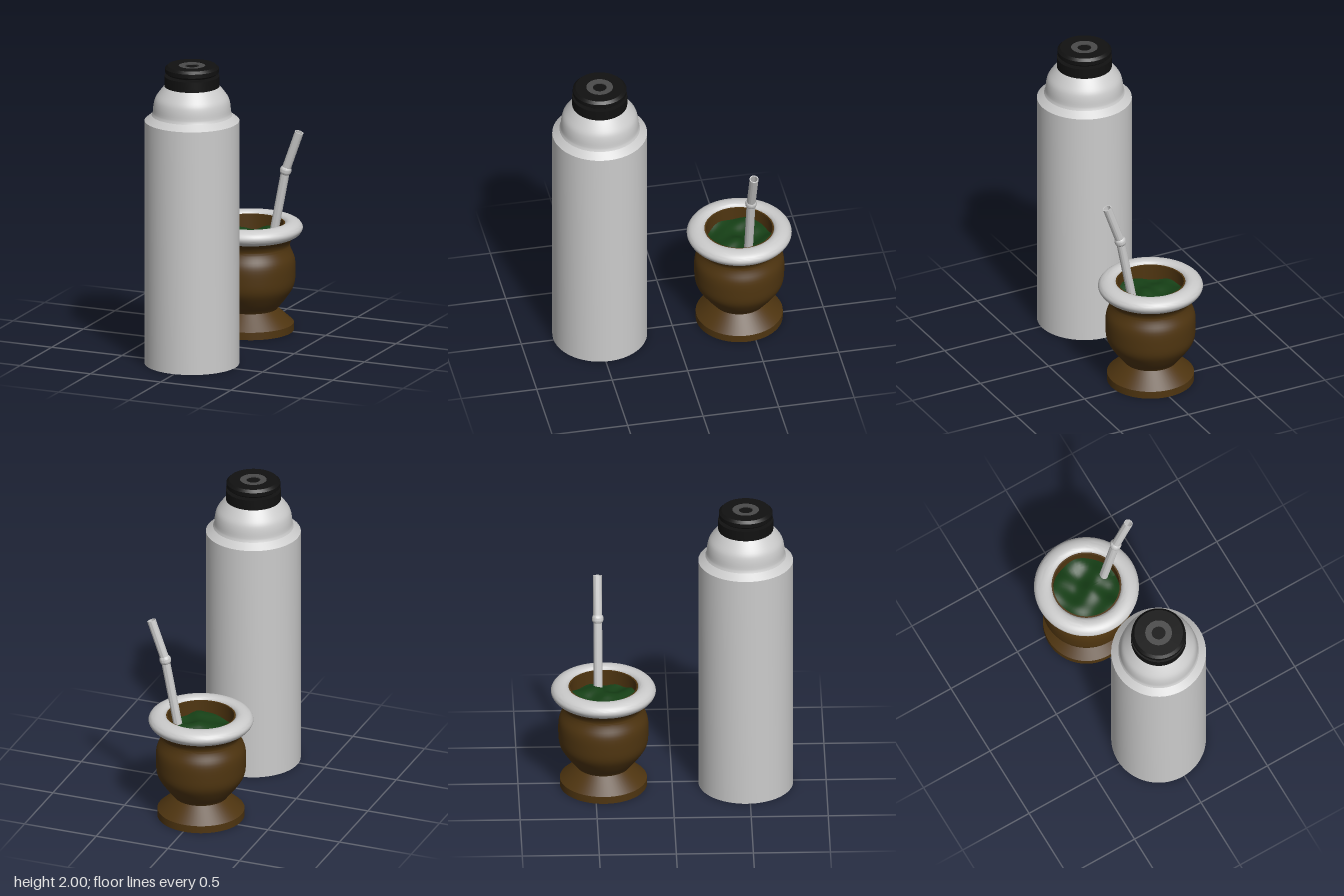
import * as THREE from 'three';
import { toCreasedNormals } from 'three/addons/utils/BufferGeometryUtils.js';

const paint = (color) => new THREE.MeshStandardMaterial({ color, side: THREE.DoubleSide });
const grey = paint(0xcccccc);
const black = paint(0x111111);
const darkGrey = paint(0x4a4a4a);
const brown = paint(0x4f3510);
const green = paint(0x164016);

function part(name, geometry, material) {
  const mesh = new THREE.Mesh(geometry, material);
  mesh.name = name;
  return mesh;
}

// Turned part from [radius, height] pairs, listed from the bottom up the outside
function turned(name, profile, material, crease = 0.5) {
  const points = profile.map(([r, y]) => new THREE.Vector2(r, y));
  return part(name, toCreasedNormals(new THREE.LatheGeometry(points, 64), crease), material);
}

// Smooth profile through a few [radius, height] pairs
function smooth(pairs, steps, closed = false) {
  const curve = new THREE.CatmullRomCurve3(
    pairs.map(([r, y]) => new THREE.Vector3(r, y, 0)), closed);
  return curve.getPoints(steps).map((p) => [p.x, p.y]);
}

function createFlask() {
  const flask = new THREE.Group();
  flask.name = 'flask';
  flask.add(turned('flaskBody', [
    [0, 0], [0.308, 0], [0.308, 1.63], [0.256, 1.672],
  ], grey));
  flask.add(turned('flaskShoulder', [
    [0.262, 1.667], [0.256, 1.68],
    ...smooth([[0.254, 1.69], [0.249, 1.74], [0.238, 1.78], [0.21, 1.822], [0.178, 1.862]], 12),
    [0, 1.862],
  ], grey));
  // Stopper with a groove and a small recess in its top
  flask.add(turned('stopper', [
    [0.179, 1.855], [0.179, 1.93], [0.125, 1.93], [0.125, 1.942], [0.16, 1.942],
    [0.175, 1.955], [0.175, 1.982], [0.158, 1.999], [0.087, 2], [0.087, 1.99], [0, 1.99],
  ], black));
  flask.add(turned('stopperRing', [
    [0.087, 1.985], [0.087, 1.997], [0.045, 1.997], [0.045, 1.985],
  ], darkGrey));
  return flask;
}

function createCup() {
  const cup = new THREE.Group();
  cup.name = 'cup';
  // Gourd: foot, waist, belly, flared neck and inner wall
  cup.add(turned('gourd', [
    [0.283, 0], [0.283, 0.05], [0.176, 0.145],
    ...smooth([[0.18, 0.152], [0.235, 0.22], [0.283, 0.3], [0.293, 0.39], [0.288, 0.48],
      [0.262, 0.545], [0.256, 0.575], [0.272, 0.61], [0.3, 0.638]], 32),
    [0.228, 0.66], [0.226, 0.715], [0.216, 0.715], [0.216, 0.55], [0, 0.55],
  ], brown, 0.6));
  const base = part('cupBase', new THREE.CircleGeometry(0.283, 64), grey);
  base.rotation.x = Math.PI / 2;
  cup.add(base);

  cup.add(turned('rim', smooth([
    [0.3, 0.635], [0.328, 0.655], [0.341, 0.685], [0.325, 0.715], [0.285, 0.734],
    [0.245, 0.732], [0.225, 0.713], [0.225, 0.66], [0.25, 0.636],
  ], 36, true), grey, 1));

  // Uneven surface of the leaves
  const leaves = new THREE.RingGeometry(0, 0.217, 48, 14);
  leaves.rotateX(-Math.PI / 2);
  const pos = leaves.attributes.position;
  for (let i = 0; i < pos.count; i++) {
    const x = pos.getX(i), z = pos.getZ(i);
    const bump = Math.sin(x * 23 + Math.sin(z * 17)) * 0.012
      + Math.sin(z * 31 + x * 14 + 1) * 0.008 + Math.cos(x * 42 - z * 25) * 0.004;
    pos.setY(i, 0.625 + bump);
  }
  leaves.computeVertexNormals();
  cup.add(part('leaves', leaves, green));
  return cup;
}

function createStraw() {
  const straw = new THREE.Group();
  straw.name = 'straw';
  const foot = new THREE.Vector3(0.122, 0.56, 0);
  const joint = new THREE.Vector3(0.225, 1.085, 0);
  const tip = new THREE.Vector3(0.322, 1.352, 0);
  const up = new THREE.Vector3(0, 1, 0);

  // Hollow pipe between two points
  function pipe(name, from, to) {
    const length = from.distanceTo(to);
    const mesh = turned(name, [
      [0.023, 0], [0.029, 0], [0.029, length], [0.023, length], [0.023, 0],
    ], grey);
    mesh.position.copy(from);
    mesh.quaternion.setFromUnitVectors(up, to.clone().sub(from).normalize());
    return mesh;
  }
  straw.add(pipe('lowerPipe', foot, joint), pipe('upperPipe', joint, tip));

  // Bead covering the bend
  const bead = turned('bead', smooth([
    [0.026, -0.028], [0.034, -0.018], [0.038, 0], [0.034, 0.018], [0.026, 0.028],
  ], 12), grey, 1);
  bead.position.copy(joint);
  bead.quaternion.setFromUnitVectors(up, tip.clone().sub(foot).normalize());
  straw.add(bead);
  return straw;
}

export function createModel() {
  const model = new THREE.Group();
  model.name = 'flaskAndCup';
  const flask = createFlask();
  flask.position.set(-0.012, 0, 0.478);
  const cup = createCup();
  cup.position.set(-0.012, 0, -0.446);
  const straw = createStraw();
  straw.position.z = -0.476;
  model.add(flask, cup, straw);
  return model;
}
